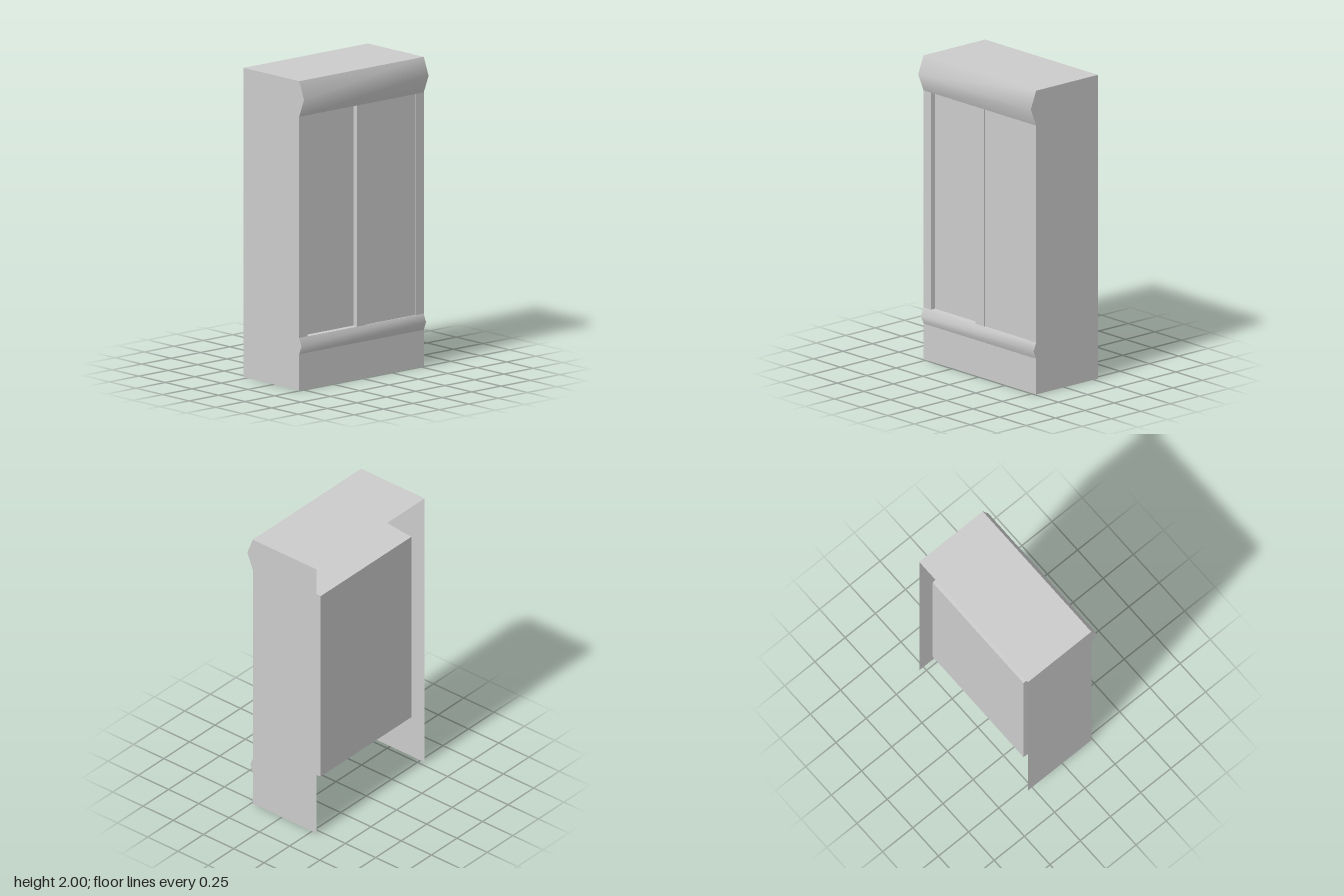
import * as THREE from 'three';

const W = 1.06, BACK = -0.285, FRONT = 0.24;       // width along z, back and front planes
const LOW = 0.34, HIGH = 1.77;                     // opening heights
const mat = new THREE.MeshStandardMaterial({ color: 0xcccccc, side: THREE.DoubleSide });

function add(group, name, geometry) {
  const mesh = new THREE.Mesh(geometry, mat);
  mesh.name = name;
  group.add(mesh);
  return mesh;
}

// Upright panel facing +x
function panel(x, z0, z1, y0, y1, rows = 1) {
  return new THREE.PlaneGeometry(z1 - z0, y1 - y0, 1, rows)
    .rotateY(Math.PI / 2)
    .translate(x, (y0 + y1) / 2, (z0 + z1) / 2);
}

// Four flat walls joining two rectangles [z0, z1, y0, y1] at two depths
function sleeve(xa, a, xb, b) {
  const ring = (x, [z0, z1, y0, y1]) => [[x, y0, z0], [x, y0, z1], [x, y1, z1], [x, y1, z0]];
  const A = ring(xa, a), B = ring(xb, b), pos = [];
  for (let i = 0; i < 4; i++) {
    const j = (i + 1) % 4;
    for (const p of [A[i], B[j], A[j], A[i], B[i], B[j]]) pos.push(...p);
  }
  const g = new THREE.BufferGeometry();
  g.setAttribute('position', new THREE.Float32BufferAttribute(pos, 3));
  g.computeVertexNormals();
  return g;
}

// Full-width ridge with smooth shading across its crest
function moulding(y0, y1, bulge) {
  const g = panel(FRONT, -W / 2, W / 2, y0, y1, 2);
  const p = g.attributes.position;
  for (let i = 2; i < 4; i++) p.setX(i, FRONT + bulge);
  g.computeVertexNormals();
  return g;
}

export function createModel() {
  const model = new THREE.Group();
  model.name = 'cabinet';

  // Side walls follow the moulding profile
  const profile = new THREE.Shape([
    [BACK, 0], [FRONT, 0], [FRONT, 0.235], [0.261, 0.287], [FRONT, LOW],
    [FRONT, HIGH], [0.285, 1.885], [FRONT, 2], [BACK, 2],
  ].map(([x, y]) => new THREE.Vector2(x, y)));
  add(model, 'leftSide', new THREE.ShapeGeometry(profile)).position.z = W / 2;
  add(model, 'rightSide', new THREE.ShapeGeometry(profile)).position.z = -W / 2;

  // Top
  add(model, 'top', new THREE.PlaneGeometry(FRONT - BACK, W).rotateX(-Math.PI / 2)
    .translate((FRONT + BACK) / 2, 2, 0));

  // Front: plinth, mouldings and three stiles
  add(model, 'plinth', panel(FRONT, -W / 2, W / 2, 0, 0.235));
  add(model, 'baseMoulding', moulding(0.235, LOW, 0.021));
  add(model, 'crownMoulding', moulding(HIGH, 2, 0.045));
  for (const [z0, z1] of [[-W / 2, -0.46], [-0.04, 0.04], [0.46, W / 2]])
    add(model, 'stile', panel(FRONT, z0, z1, LOW, HIGH));

  // Two doors set back at different depths, with their reveals
  for (const [z0, z1, depth] of [[0.04, 0.46, 0.032], [-0.46, -0.04, 0.006]]) {
    const r = [z0, z1, LOW, HIGH];
    add(model, 'doorReveal', sleeve(FRONT, r, FRONT - depth, r));
    add(model, 'door', panel(FRONT - depth, ...r));
  }

  // Inner box behind the doors, narrowing slightly toward the back
  const rear = [-0.443, 0.443, 0.37, 1.737];
  add(model, 'innerBoxWalls', sleeve(-0.248, rear, FRONT, [-0.46, 0.46, LOW, HIGH]));
  add(model, 'innerBoxBack', panel(0, ...rear).rotateY(Math.PI).translate(-0.248, 0, 0));

  return model;
}
